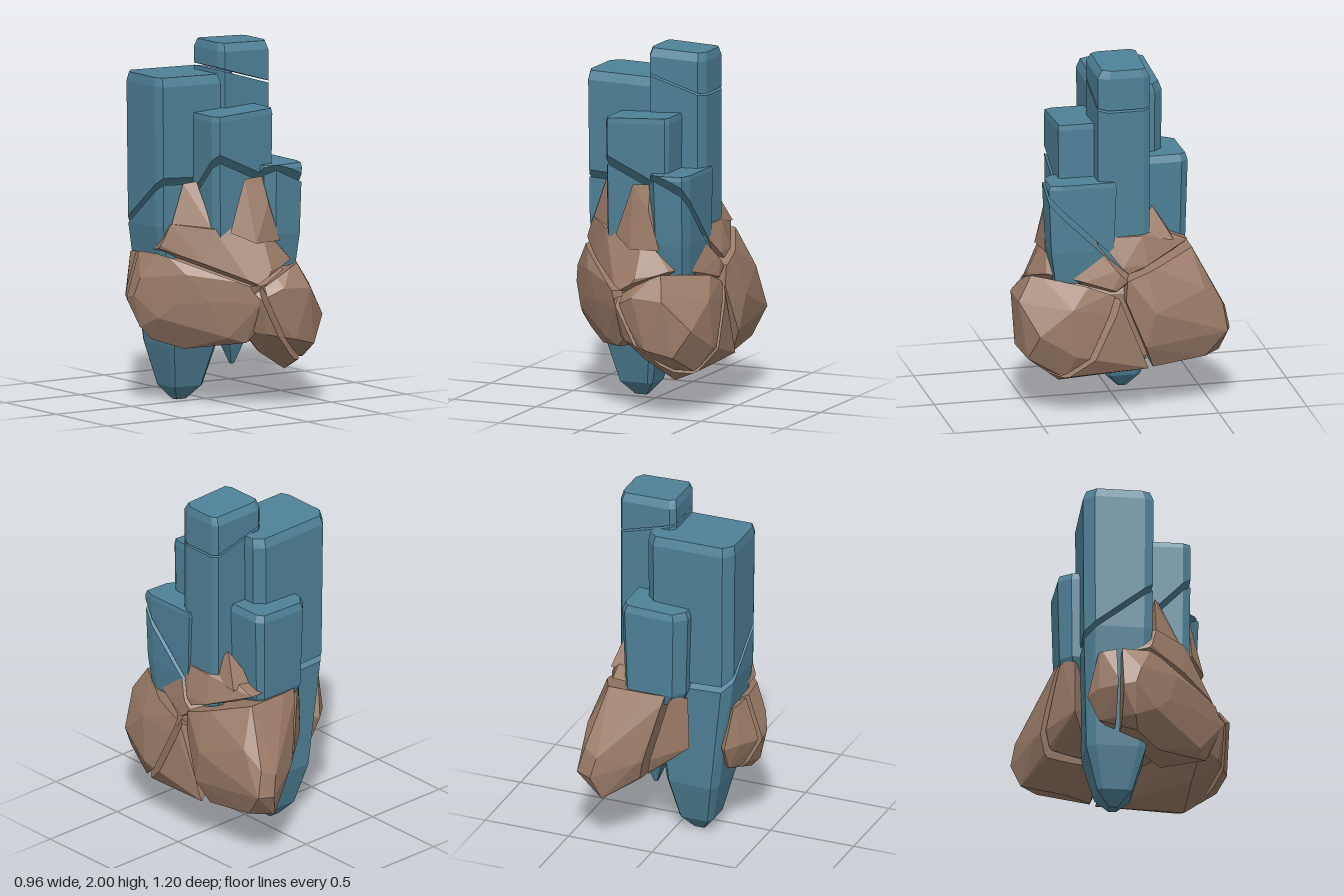
import * as THREE from 'three';
import { ConvexGeometry } from 'three/addons/geometries/ConvexGeometry.js';

const crystalMat = new THREE.MeshStandardMaterial({ color: 0x4f8298, flatShading: true });
const rockMat = new THREE.MeshStandardMaterial({ color: 0x9c7c68, flatShading: true });

// Plane y = a + b*x + c*z, positive side above it
function slope(a, b, c) {
  const len = Math.hypot(b, 1, c);
  return new THREE.Plane(new THREE.Vector3(-b / len, 1 / len, -c / len), -a / len);
}
const flip = (plane) => plane.clone().negate();

// Keep the part of a convex point set on the positive side, pulled back by half a crack
function clip(points, plane, gap) {
  const d = points.map((p) => plane.distanceToPoint(p) - gap / 2);
  const out = points.filter((p, i) => d[i] >= 0);
  for (let i = 0; i < points.length; i++) {
    for (let j = i + 1; j < points.length; j++) {
      if (d[i] * d[j] < 0) out.push(points[i].clone().lerp(points[j], d[i] / (d[i] - d[j])));
    }
  }
  return out;
}

function piece(name, points, planes, mat, gap = 0.03) {
  const kept = planes.reduce((pts, plane) => clip(pts, plane, gap), points);
  const mesh = new THREE.Mesh(new ConvexGeometry(kept), mat);
  mesh.name = name;
  return mesh;
}

const vectors = (list) => list.map((p) => new THREE.Vector3(...p));

// Column points: an [x, z] outline scaled about (cx, cz) at each [y, scaleX, scaleZ] level;
// the upper two levels lean by tilt along x
function column(outline, cx, cz, levels, tilt = 0) {
  return levels.flatMap(([y, sx, sz = sx], i) => outline.map(([x, z]) => new THREE.Vector3(
    cx + (x - cx) * sx, y + (i < 2 ? tilt * (x - cx) : 0), cz + (z - cz) * sz)));
}

export function createModel() {
  const group = new THREE.Group();
  group.name = 'crystalRock';

  // Fracture planes
  const mainCrack = slope(0.99, -0.45, 1.0);
  const wideCrack = slope(1.15, -0.07, 0.78);
  const topCrack = slope(1.86, -0.3, 0);
  const frontTop = slope(0.45, 0.55, 0.45);
  const frontSide = slope(1.66, -1.98, -1.8);
  const leftTop = slope(0.655, -0.55, 0.065);
  const backTop = slope(0.8, 0, -0.34);
  const backSide = new THREE.Plane(new THREE.Vector3(0, 0.37, -0.93), -0.223);
  const leftSplit = new THREE.Plane(new THREE.Vector3(0, 0, 1), 0.085);
  const backSplit = new THREE.Plane(new THREE.Vector3(0.97, 0.24, 0), -0.18);

  // Crystal columns
  const tall = column([[0.01, -0.13], [0.04, -0.155], [0.33, -0.145], [0.35, -0.11],
    [0.35, 0.09], [0.32, 0.145], [0.03, 0.145], [0.01, 0.1]], 0.18, -0.01,
  [[1.995, 0.94, 0.84], [1.95, 1], [0.9, 1], [0.4, 0.55], [0.18, 0.06]], -0.03);
  const wide = column([[-0.38, -0.22], [-0.33, -0.28], [0.09, -0.27], [0.14, -0.22],
    [0.14, 0.08], [0.08, 0.12], [-0.36, 0.11], [-0.38, 0.06]], -0.12, -0.09,
  [[1.83, 0.97, 0.9], [1.78, 1], [1.0, 0.97], [0.32, 0.6, 0.85], [0.08, 0.38, 0.5], [0, 0.13]], -0.02);
  const back = column([[-0.14, -0.32], [-0.08, -0.39], [0.21, -0.39], [0.24, -0.35],
    [0.24, -0.08], [-0.14, -0.08]], 0.05, -0.24,
  [[1.43, 0.92], [1.39, 1], [0.92, 0.92], [0.85, 0.75]], 0.03);
  const front = column([[-0.16, 0.1], [0.225, 0.1], [0.225, 0.32], [0.21, 0.345],
    [-0.14, 0.345], [-0.165, 0.3]], 0.03, 0.2,
  [[1.64, 0.97], [1.61, 1], [0.8, 0.95]], 0.06);
  const corner = column([[0.13, 0.38], [0.18, 0.43], [0.35, 0.43], [0.37, 0.36],
    [0.37, 0.05], [0.28, 0.05], [0.13, 0.1]], 0.29, 0.24,
  [[1.345, 0.95], [1.32, 1], [0.95, 0.94, 0.92], [0.77, 0.75, 0.78]], 0.03);

  group.add(
    piece('tallColumn', tall, [flip(topCrack)], crystalMat, 0.012),
    piece('tallColumnCap', tall, [topCrack], crystalMat, 0.012),
    piece('backColumn', back, [], crystalMat),
  );
  for (const [name, pts, crack] of [['wideColumn', wide, wideCrack],
    ['frontColumn', front, mainCrack], ['cornerColumn', corner, mainCrack]]) {
    group.add(piece(name + 'Upper', pts, [crack], crystalMat));
    group.add(piece(name + 'Lower', pts, [flip(crack)], crystalMat));
  }

  // Rock core seen at the bottom of the cracks
  group.add(piece('rockCore', vectors([[0.38, 0.7, 0.15], [0.38, 0.7, -0.1], [0.37, 0.35, 0.12],
    [0.37, 0.32, -0.12], [0.3, 0.72, 0.42], [0.08, 0.68, 0.44], [0.1, 0.45, 0.38],
    [0.1, 0.46, -0.2], [0.08, 0.86, -0.3], [0.3, 0.86, -0.27], [-0.34, 0.83, 0.08],
    [-0.3, 0.5, 0.08], [-0.1, 0.68, 0.38], [-0.05, 0.48, 0.3]]), [], rockMat));

  // Front lobe and the wedge beneath it
  const frontLobe = vectors([[-0.05, 0.7, 0.45], [0, 0.62, 0.55], [0.12, 0.68, 0.595],
    [0.3, 0.67, 0.59], [0.2, 0.39, 0.59], [0.35, 0.35, 0.55], [0.05, 0.42, 0.52],
    [0.44, 0.5, 0.5], [0.47, 0.65, 0.32], [0.48, 0.38, 0.3], [0.4, 0.24, 0.35],
    [0.28, 0.19, 0.36], [0.1, 0.3, 0.38], [0.25, 0.84, 0.49], [0.1, 0.77, 0.5],
    [0.42, 0.8, 0.2], [0.45, 0.6, 0.05], [0.42, 0.28, 0.0], [0.1, 0.5, 0.05],
    [-0.05, 0.45, 0.42], [0.3, 0.26, 0.05], [0.43, 0.27, -0.12], [0.43, 0.74, 0.05]]);
  group.add(piece('frontLobe', frontLobe, [flip(frontTop), frontSide], rockMat));
  group.add(piece('lowerWedge', frontLobe,
    [flip(frontTop), flip(frontSide), flip(backSide)], rockMat));

  // Left-hand lobe in two parts
  const sideLobe = vectors([[-0.48, 0.62, 0], [-0.48, 0.6, -0.08], [-0.46, 0.72, 0.03],
    [-0.44, 0.44, 0], [-0.38, 0.37, 0.02], [-0.37, 0.88, 0.1], [-0.38, 0.9, -0.1],
    [-0.3, 0.75, 0.25], [-0.34, 0.58, 0.2], [-0.21, 0.6, 0.34], [-0.05, 0.71, 0.49],
    [0, 0.6, 0.54], [-0.12, 0.4, 0.4], [-0.25, 0.32, 0.15], [-0.03, 0.37, 0.44],
    [0.05, 0.35, 0.2], [-0.4, 0.5, 0.12], [-0.4, 0.6, -0.2], [-0.33, 0.44, -0.19],
    [-0.1, 0.8, 0.3], [-0.37, 0.87, -0.19], [-0.33, 0.58, -0.255], [0, 0.7, 0.1],
    [0.04, 0.45, 0.48]]);
  group.add(piece('sideLobe', sideLobe, [flip(leftTop), flip(frontSide), leftSplit], rockMat));
  group.add(piece('sideLobeRear', sideLobe, [flip(leftTop), flip(leftSplit)], rockMat));

  // Back lobe in two parts
  const backLobe = vectors([[0.43, 0.8, 0], [0.3, 0.94, -0.38], [0.41, 0.87, -0.1],
    [0.41, 0.7, -0.44], [0.38, 0.6, -0.55], [0.33, 0.44, -0.6], [0.42, 0.45, -0.57],
    [0.3, 0.56, -0.58], [0.28, 0.3, -0.55], [0.38, 0.3, -0.45], [0.48, 0.6, -0.15],
    [0.46, 0.4, -0.1], [0.4, 0.26, -0.1], [0.3, 0.27, -0.3], [0.1, 0.52, -0.49],
    [0.1, 0.4, -0.42], [0.03, 0.72, -0.41], [0.05, 0.94, -0.38], [-0.14, 0.58, -0.3],
    [0.05, 0.4, -0.2], [0.3, 0.9, 0], [-0.13, 0.92, -0.3], [-0.07, 0.92, -0.36],
    [0.42, 0.5, 0.02]]);
  group.add(piece('backLobe', backLobe, [flip(backTop), backSide, backSplit], rockMat));
  group.add(piece('backLobeInner', backLobe, [flip(backTop), flip(backSplit)], rockMat));

  // Collar around the columns, split by the main crack
  const collar = vectors([[-0.38, 0.8, 0.02], [-0.37, 0.9, 0.1], [-0.22, 0.8, 0.3],
    [0, 0.64, 0.53], [0.1, 0.77, 0.5], [0.28, 0.8, 0.43], [0.35, 0.72, 0.38],
    [0.42, 0.7, 0.1], [0.41, 0.86, 0.02], [-0.32, 1.02, 0.13], [-0.16, 1.0, 0.31],
    [0.1, 1.0, 0.39], [0.2, 0.9, 0.41], [0.35, 1.02, 0.06], [0.36, 1.02, -0.1],
    [0.3, 1.05, -0.16], [0.29, 0.96, -0.37], [0.08, 0.95, -0.37], [0.4, 0.86, -0.12],
    [-0.3, 0.9, -0.15]]);
  group.add(piece('collarFront', collar,
    [flip(mainCrack), frontTop, leftTop], rockMat));
  group.add(piece('collarRear', collar, [mainCrack, backTop], rockMat));

  // Rock points wedged between the columns
  const spikes = {
    sideSpike: [[-0.17, 1.25, 0.16], [-0.24, 1.24, 0.13], [-0.33, 0.98, 0.13],
      [-0.15, 0.98, 0.3], [-0.16, 1.0, 0.08], [-0.35, 0.88, 0.12]],
    frontSpike: [[0.02, 1.27, 0.35], [0.13, 1.28, 0.36], [0.14, 1.14, 0.41],
      [-0.08, 0.98, 0.36], [0.21, 0.92, 0.42], [0.04, 0.92, 0.44], [0.1, 0.95, 0.25]],
    rearSpike: [[0.28, 1.17, -0.17], [0.34, 1, -0.06], [0.34, 0.98, -0.28],
      [0.2, 1, -0.28], [0.2, 1, -0.1]],
  };
  for (const [name, pts] of Object.entries(spikes)) group.add(piece(name, vectors(pts), [], rockMat));

  return group;
}
